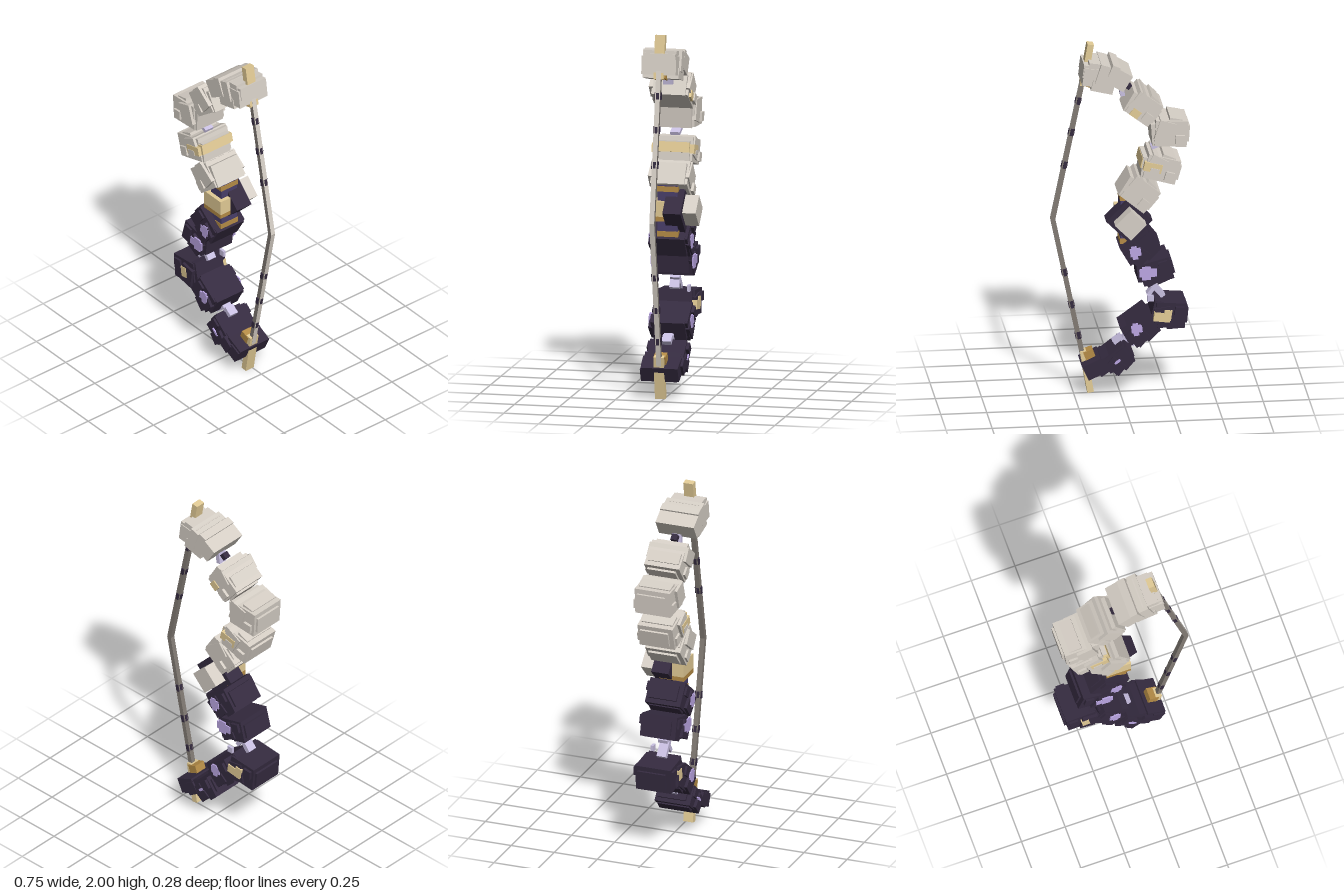
import * as THREE from 'three';

const mat = (name, color) => new THREE.MeshStandardMaterial({ name, color });

export function createModel() {
  const pale = mat('pale stone', 0xd6cfc6);
  const dark = mat('dark violet', 0x352b40);
  const violet = mat('grip violet', 0x4a3f6b);
  const lilac = mat('lilac', 0xbba6e3);
  const mist = mat('pale lilac', 0xc9c0e2);
  const gold = mat('gold', 0xe3cc96);
  const bronze = mat('bronze', 0xb58c46);
  const cord = mat('cord grey', 0x827b74);

  const bow = new THREE.Group();
  bow.name = 'bow';

  // Box placed in the front plane, turned by deg and reaching from z0 to z1
  function box(parent, name, material, x, y, deg, w, h, z0, z1) {
    const mesh = new THREE.Mesh(new THREE.BoxGeometry(w, h, z1 - z0), material);
    mesh.position.set(x, y, (z0 + z1) / 2);
    mesh.rotation.z = THREE.MathUtils.degToRad(deg);
    mesh.name = name;
    parent.add(mesh);
    return mesh;
  }

  // Limb block: core, overlapping cheek slab, outer ridges, inner foot and side stud
  function limbBlock(name, material, x, y, deg, w, h, s = 1) {
    const g = new THREE.Group();
    g.name = name;
    g.position.set(x, y, 0);
    g.rotation.z = THREE.MathUtils.degToRad(deg);
    box(g, 'core', material, -0.005, 0, 0, w, h, -0.088, 0.116);
    box(g, 'cheekSlab', material, 0.03, 0.012 * s, 14 * s, w * 0.52, h * 0.8, -0.096, 0.132);
    box(g, 'outerRidge', material, -w * 0.5, 0, 0, 0.035, h * 0.62, -0.073, 0.09);
    box(g, 'shoulderRib', material, -w * 0.15, h * 0.47 * s, 8 * s, w * 0.4, 0.03, -0.075, 0.105);
    box(g, 'innerFoot', material, w * 0.38, -0.012 * s, -8 * s, w * 0.38, h * 0.85, -0.075, 0.108);
    box(g, 'sideStud', material, -w * 0.3, -h * 0.2 * s, 0, 0.05, 0.05, -0.104, 0.128);
    bow.add(g);
    return g;
  }

  // Thin stepped patches on the front and back of a block
  function patches(g, x, y, deg, w, h) {
    for (const [z0, z1] of [[0.128, 0.136], [-0.102, -0.094]]) {
      box(g, 'patch', lilac, x, y, deg, w, h * 0.6, z0, z1);
      box(g, 'patchStep', lilac, x + w * 0.1, y, deg, w * 0.5, h, z0, z1);
    }
  }

  // Upper pale limb
  limbBlock('upperBlock1', pale, -0.1, 1.157, 40, 0.165, 0.145);
  limbBlock('upperBlock2', pale, -0.215, 1.295, 16, 0.18, 0.135);
  limbBlock('upperBlock3', pale, -0.266, 1.497, 4, 0.175, 0.145);
  limbBlock('upperBlock4', pale, -0.12, 1.647, 38, 0.155, 0.14);
  [[0.0, 1.812, 32, 0.085, 0.1, -0.088, 0.134], [0.055, 1.83, 24, 0.11, 0.095, -0.07, 0.116],
   [0.045, 1.845, 24, 0.045, 0.105, -0.088, 0.134], [0.1, 1.845, 18, 0.055, 0.115, -0.088, 0.128],
   [0.155, 1.83, 8, 0.1, 0.1, -0.075, 0.116], [0.13, 1.885, 8, 0.09, 0.045, -0.07, 0.11],
   [0.185, 1.865, 8, 0.04, 0.07, -0.07, 0.105], [0.1, 1.775, 14, 0.12, 0.06, -0.08, 0.12]]
    .forEach((b) => box(bow, 'upperTipBlock', pale, ...b));
  box(bow, 'upperGoldBand', gold, -0.162, 1.319, 14, 0.108, 0.055, -0.075, 0.116);
  box(bow, 'upperGoldFace', gold, -0.17, 1.31, 14, 0.1, 0.05, -0.1, 0.136);
  box(bow, 'upperGoldTrim', pale, -0.18, 1.293, 14, 0.05, 0.025, -0.103, 0.139);
  box(bow, 'upperGoldInset', gold, -0.075, 1.625, 38, 0.05, 0.045, -0.101, -0.06);

  // Lower dark limb
  patches(limbBlock('lowerBlock1', dark, -0.105, 0.84, -38, 0.165, 0.14, -1), 0.03, 0.01, 30, 0.06, 0.075);
  patches(limbBlock('lowerBlock2', dark, -0.185, 0.707, -15, 0.17, 0.125, -1), 0.04, 0.012, 14, 0.095, 0.075);
  limbBlock('lowerBlock3', dark, -0.262, 0.457, 5, 0.165, 0.14, -1);
  patches(limbBlock('lowerBlock4', dark, -0.105, 0.375, -36, 0.16, 0.135, -1), 0.01, 0.025, 30, 0.06, 0.07);
  patches(limbBlock('lowerBlock5', dark, 0.015, 0.205, -38, 0.13, 0.115, -1), 0.0, 0.005, 0, 0.05, 0.014);
  box(bow, 'lowerTipBlock', dark, 0.145, 0.16, -25, 0.11, 0.085, -0.085, 0.116);
  box(bow, 'lowerTipCheek', dark, 0.1, 0.17, -35, 0.07, 0.07, -0.098, 0.132);
  box(bow, 'lowerTipRidge', dark, 0.16, 0.145, -25, 0.07, 0.075, -0.073, 0.125);
  box(bow, 'lowerGoldInset', gold, -0.25, 0.46, 8, 0.042, 0.06, -0.102, 0.135);
  box(bow, 'lowerGoldRear', gold, -0.22, 0.45, 8, 0.09, 0.05, -0.102, 0);

  // Lilac links between the blocks
  [[-0.012, 1.73, -8, 0.025, 0.07], [-0.21, 1.405, -20, 0.08, 0.02], [-0.205, 0.575, 50, 0.1, 0.028],
   [-0.175, 0.575, -55, 0.07, 0.022], [-0.18, 0.635, 15, 0.09, 0.02],
   [0.01, 0.295, -35, 0.055, 0.03], [-0.05, 0.29, 40, 0.08, 0.022]]
    .forEach(([x, y, r, w, h]) => box(bow, 'link', mist, x, y, r, w, h, -0.008, 0.045));
  box(bow, 'upperLinkPin', dark, -0.045, 1.748, 40, 0.035, 0.03, 0, 0.035);
  box(bow, 'rearLinkBar', mist, -0.16, 0.55, 0, 0.035, 0.035, -0.07, -0.055);

  // Grip with collars, guard diamond and rear plate
  box(bow, 'gripCore', violet, -0.045, 1.0, 0, 0.09, 0.28, -0.035, 0.075);
  box(bow, 'upperCollar', bronze, -0.04, 1.12, 0, 0.085, 0.03, -0.038, 0.078);
  box(bow, 'lowerCollar', bronze, -0.04, 0.873, 0, 0.085, 0.03, -0.038, 0.078);
  box(bow, 'gripBand', gold, -0.048, 1.012, 0, 0.14, 0.085, -0.045, 0.098);
  box(bow, 'gripBandBase', bronze, -0.048, 0.96, 0, 0.14, 0.03, -0.045, 0.098);
  box(bow, 'guardDiamond', dark, -0.045, 1.0, 45, 0.177, 0.177, -0.07, 0.03);
  box(bow, 'rearPlate', pale, -0.045, 1.0, 45, 0.12, 0.12, -0.145, -0.065);

  // Mirrored tips and string halves, s = 1 upper and -1 lower
  for (const s of [1, -1]) {
    const Y = (y) => 1 + s * y;
    box(bow, 'limbTip', s > 0 ? gold : [gold, gold, gold, bronze, gold, gold],
      0.178, Y(0.879), 10 * s, 0.035, 0.239, -0.008, 0.048);
    box(bow, 'stringMount', bronze, 0.163, Y(0.785), 20 * s, 0.055, 0.06, -0.015, 0.052);
    const a = new THREE.Vector2(0.195, Y(0.81)), b = new THREE.Vector2(0.361, 1);
    const d = b.clone().sub(a);
    const deg = THREE.MathUtils.radToDeg(Math.atan2(d.y, d.x)) + 90 * s;
    const mid = a.clone().lerp(b, 0.5);
    box(bow, s > 0 ? 'upperString' : 'lowerString', [pale, cord, cord, cord, cord, cord],
      mid.x, mid.y, deg, 0.026, d.length() + 0.004, 0.006, 0.033);
    // Wraps: a wide collar across the string and a narrow key through it
    for (const t of [0.17, 0.39, 0.62]) {
      const p = a.clone().lerp(b, t);
      box(bow, 'stringWrap', dark, p.x - 0.002, p.y, deg, 0.018, 0.04, 0.001, 0.038);
      box(bow, 'stringKey', dark, p.x, p.y, deg, 0.033, 0.035, 0.012, 0.027);
    }
  }
  return bow;
}
